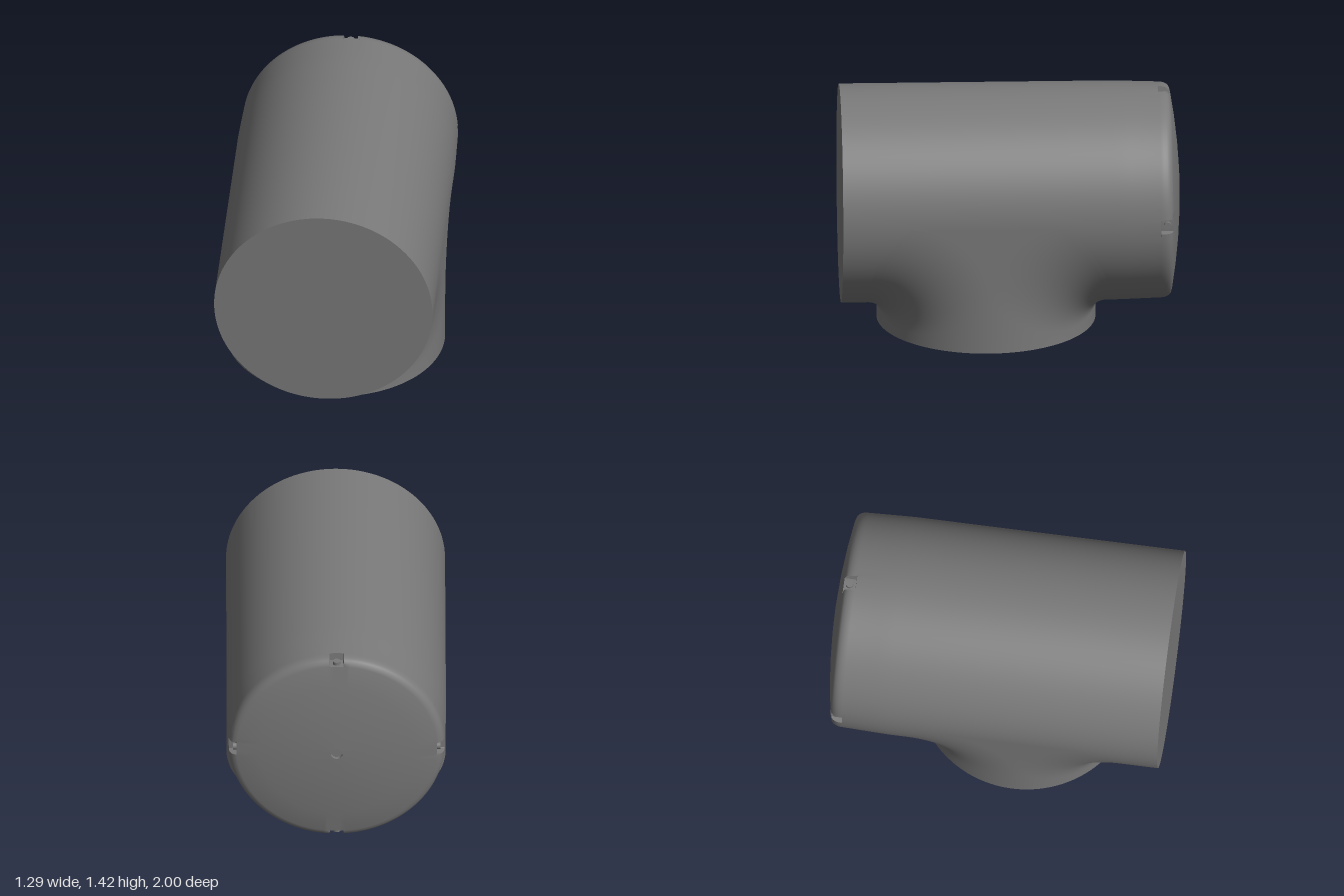
import * as THREE from 'three';
import { toCreasedNormals } from 'three/addons/utils/BufferGeometryUtils.js';

const R = 0.645;      // radius of barrel and neck
const AXIS_Y = 0.777; // height of the barrel axis
const NECK_Z = 0.14;  // centre of the neck
const SEGS = 192;

// Barrel: flat front, slight taper, rounded rim and domed back with four rim slots
function barrelGeometry() {
  const dome = (r) => 1 - 0.055 * (r / 0.6) ** 2;
  const profile = [
    [0, -1], [R, -1], [R, 0.6], [0.642, 0.7], [0.636, 0.872], [0.636, 0.875],
    [0.635, 0.895], [0.631, 0.912], [0.623, 0.928], [0.61, 0.94], [0.59, dome(0.59)],
    [0.45, dome(0.45)], [0.3, dome(0.3)], [0.15, dome(0.15)],
    [0.035, dome(0.035)], [0.035, 0.98], [0, 0.98],
  ].map(([r, y]) => new THREE.Vector2(r, y));
  const geo = new THREE.LatheGeometry(profile, SEGS);
  const pos = geo.attributes.position;
  const step = (Math.PI * 2) / SEGS;
  for (let i = 0; i < pos.count; i++) {
    const x = pos.getX(i), y = pos.getY(i), z = pos.getZ(i);
    const r = Math.hypot(x, z);
    if (y < 0.873 || r < 0.591) continue;
    // sink the vertices near each quarter turn; pull their neighbours in for steep walls
    const a = Math.atan2(x, z);
    const quarter = Math.round(a / (Math.PI / 2)) * (Math.PI / 2);
    const k = Math.round((a - quarter) / step);
    if (Math.abs(k) > 3) continue;
    const angle = Math.abs(k) === 3 ? quarter + Math.sign(k) * 2.1 * step : a;
    const radius = Math.abs(k) === 3 ? r : 0.59;
    pos.setXYZ(i, Math.sin(angle) * radius, y, Math.cos(angle) * radius);
  }
  geo.rotateX(-Math.PI / 2);
  return toCreasedNormals(geo, 0.6);
}

// Neck: vertical wall, then a fillet in each x slice that widens toward the sides
function neckGeometry() {
  const half = SEGS / 2, rows = 16;
  const verts = [], index = [];
  for (const side of [1, -1]) {
    for (let j = 0; j <= half; j++) {
      const phi = -Math.PI / 2 + (j / half) * Math.PI;
      const x = side * R * Math.sin(phi);
      const w = R * Math.abs(Math.cos(phi));
      const fillet = 0.045 + 0.42 * (x / R) ** 2;
      verts.push(x, 0, NECK_Z + side * w);
      for (let i = 0; i < rows; i++) {
        const t = (i / (rows - 1)) * (Math.PI / 2);
        verts.push(
          x,
          AXIS_Y - w - fillet * (1 - Math.sin(t)),
          NECK_Z + side * (w + fillet * (1 - Math.cos(t))),
        );
      }
    }
  }
  const cols = 2 * (half + 1), n = rows + 1;
  for (let j = 0; j < cols; j++) {
    for (let i = 0; i < rows; i++) {
      const a = j * n + i, b = ((j + 1) % cols) * n + i;
      index.push(a, b, b + 1, a, b + 1, a + 1);
    }
  }
  const geo = new THREE.BufferGeometry();
  geo.setAttribute('position', new THREE.Float32BufferAttribute(verts, 3));
  geo.setIndex(index);
  return toCreasedNormals(geo, 0.7);
}

export function createModel() {
  const group = new THREE.Group();
  const material = new THREE.MeshStandardMaterial({ color: 0x797979 });
  const add = (name, geometry, x, y, z) => {
    const mesh = new THREE.Mesh(geometry, material);
    mesh.name = name;
    mesh.position.set(x, y, z);
    group.add(mesh);
    return mesh;
  };

  add('barrel', barrelGeometry(), 0, AXIS_Y, 0);
  add('neck', neckGeometry(), 0, 0, 0);
  add('neckBase', new THREE.CircleGeometry(R, SEGS).rotateX(Math.PI / 2), 0, 0, NECK_Z);

  // Small studs standing in the rim slots
  for (let i = 0; i < 4; i++) {
    const a = (i * Math.PI) / 2;
    const stud = add('slotStud', new THREE.CylinderGeometry(0.022, 0.022, 0.03, 20),
      Math.sin(a) * 0.595, AXIS_Y + Math.cos(a) * 0.595, -0.912);
    stud.rotation.z = -a;
  }
  return group;
}
